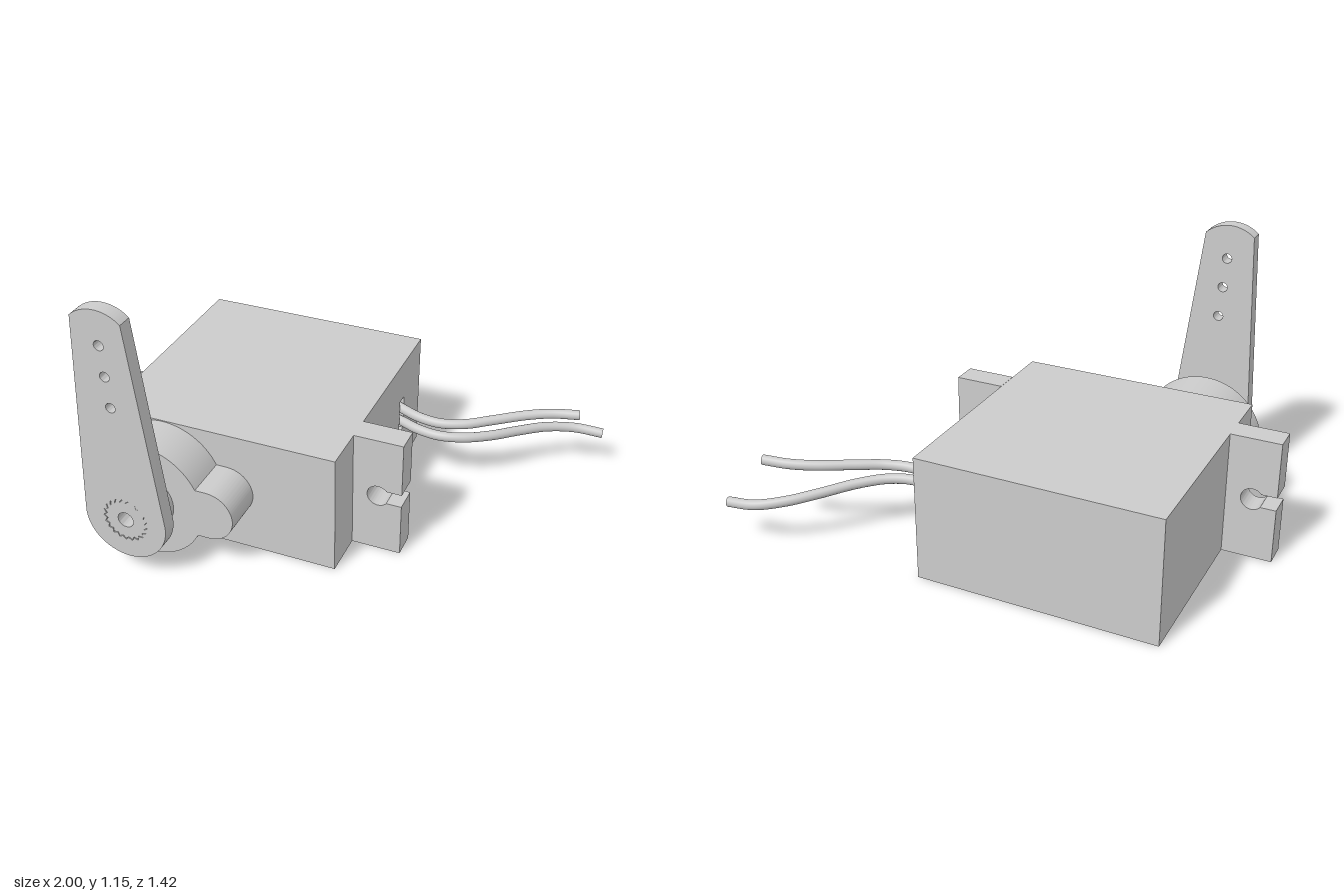
import * as THREE from 'three';
import { toCreasedNormals } from 'three/addons/utils/BufferGeometryUtils.js';

const CX = -0.305, CY = 0.258; // middle of the case
const SHAFT_X = -0.542;        // output shaft axis
const material = new THREE.MeshStandardMaterial({ color: 0xcccccc });

function mesh(name, geometry) {
  const m = new THREE.Mesh(geometry, material);
  m.name = name;
  return m;
}

// Extrude a shape along z from z0 to z1, smooth on arcs and sharp at corners
function slab(name, shape, z0, z1) {
  const g = new THREE.ExtrudeGeometry(shape, { depth: z1 - z0, bevelEnabled: false, curveSegments: 32 });
  g.translate(0, 0, z0);
  return mesh(name, toCreasedNormals(g, 0.45));
}

function rect(Type, x0, y0, x1, y1) {
  return new Type([[x0, y0], [x1, y0], [x1, y1], [x0, y1]].map(([x, y]) => new THREE.Vector2(x, y)));
}

function roundHole(x, y, r) {
  return new THREE.Path().absarc(x, y, r, 0, Math.PI * 2, true);
}

// Toothed outline of the output spline
function splineOutline(Type, radius) {
  const teeth = 21, points = [];
  for (let i = 0; i < teeth * 2; i++) {
    const a = (i / (teeth * 2)) * Math.PI * 2;
    const r = i % 2 ? radius : radius * 0.87;
    points.push(new THREE.Vector2(SHAFT_X + r * Math.cos(a), CY + r * Math.sin(a)));
  }
  return new Type(points);
}

// Case: a block, closed by a side wall with the cable opening
function makeCase() {
  const group = new THREE.Group();
  group.name = 'case';
  const block = new THREE.BoxGeometry(0.92, 0.515, 0.99);
  block.translate(-0.335, 0.2575, -0.105);
  const wall = rect(THREE.Shape, -0.39, 0, 0.6, 0.515); // shape x runs along -z
  wall.holes.push(rect(THREE.Path, 0.345, 0.18, 0.397, 0.34));
  const side = slab('cableWall', wall, 0.125, 0.185);
  side.geometry.rotateY(Math.PI / 2);
  group.add(mesh('caseBlock', block), side);
  return group;
}

// Mounting ear with a keyhole slot open at its outer end
function makeEar(name, turn) {
  const hole = 0.595, r = 0.045, slot = 0.028, a = Math.asin(slot / r);
  const s = new THREE.Shape();
  s.moveTo(0.49, -CY);
  s.lineTo(0.693, -CY);
  s.lineTo(0.693, -slot);
  s.lineTo(hole + r * Math.cos(a), -slot);
  s.absarc(hole, 0, r, -a, a, true);
  s.lineTo(0.693, slot);
  s.lineTo(0.693, CY);
  s.lineTo(0.49, CY);
  const ear = slab(name, s, 0.098, 0.203);
  ear.position.set(CX, CY, 0);
  ear.rotation.z = turn;
  return ear;
}

// Round gear housing with a smaller side lobe
function makeHousing() {
  const R = 0.253, r = 0.108, a = Math.asin(r / R);
  const s = new THREE.Shape();
  s.absarc(SHAFT_X, CY, R, a, Math.PI * 2 - a, false);
  s.absarc(-0.268, CY, r, -Math.PI / 2, Math.PI / 2, false);
  return slab('gearHousing', s, 0.385, 0.57);
}

// Tapered control arm with link holes and a toothed bore
function makeArm() {
  const rad = THREE.MathUtils.degToRad;
  const s = new THREE.Shape();
  s.absarc(SHAFT_X, CY, 0.172, rad(177.7), rad(367), false);
  s.absarc(-0.577, 1.005, 0.15, rad(47), rad(132), false);
  s.closePath();
  for (const [x, y] of [[-0.571, 1.015], [-0.561, 0.89], [-0.551, 0.762]]) {
    s.holes.push(roundHole(x, y, 0.02));
  }
  s.holes.push(splineOutline(THREE.Path, 0.095));
  return slab('controlArm', s, 0.648, 0.71);
}

// Collar and toothed shaft with a screw hole
function makeShaft() {
  const group = new THREE.Group();
  group.name = 'outputShaft';
  const collar = new THREE.Shape().absarc(SHAFT_X, CY, 0.13, 0, Math.PI * 2, false);
  collar.holes.push(roundHole(SHAFT_X, CY, 0.033));
  const spline = splineOutline(THREE.Shape, 0.092);
  spline.holes.push(roundHole(SHAFT_X, CY, 0.033));
  group.add(slab('collar', collar, 0.565, 0.65), slab('spline', spline, 0.645, 0.708));
  return group;
}

// Wire with a closed round end
function makeWire(name, points) {
  const group = new THREE.Group();
  group.name = name;
  const curve = new THREE.CatmullRomCurve3(points.map(p => new THREE.Vector3(...p)));
  const r = 0.021;
  const end = mesh(name + 'End', new THREE.CircleGeometry(r, 16));
  end.position.copy(curve.getPoint(1));
  end.lookAt(end.position.clone().add(curve.getTangent(1)));
  group.add(mesh(name + 'Sleeve', new THREE.TubeGeometry(curve, 64, r, 16)), end);
  return group;
}

export function createModel() {
  const model = new THREE.Group();
  model.name = 'servoMotor';
  model.add(
    makeCase(),
    makeEar('leftEar', 0),
    makeEar('rightEar', Math.PI),
    makeHousing(),
    makeShaft(),
    makeArm(),
    makeWire('upperWire', [
      [0.125, 0.295, -0.395], [0.19, 0.294, -0.37], [0.27, 0.294, -0.336], [0.37, 0.295, -0.322],
      [0.47, 0.298, -0.35], [0.57, 0.304, -0.412], [0.7, 0.311, -0.497], [0.8, 0.316, -0.543], [0.91, 0.321, -0.567],
    ]),
    makeWire('lowerWire', [
      [0.125, 0.225, -0.395], [0.19, 0.23, -0.37], [0.27, 0.235, -0.332], [0.37, 0.236, -0.316],
      [0.47, 0.232, -0.346], [0.57, 0.222, -0.42], [0.67, 0.208, -0.525], [0.77, 0.194, -0.62],
      [0.88, 0.18, -0.68], [0.998, 0.172, -0.694],
    ]),
  );
  return model;
}
